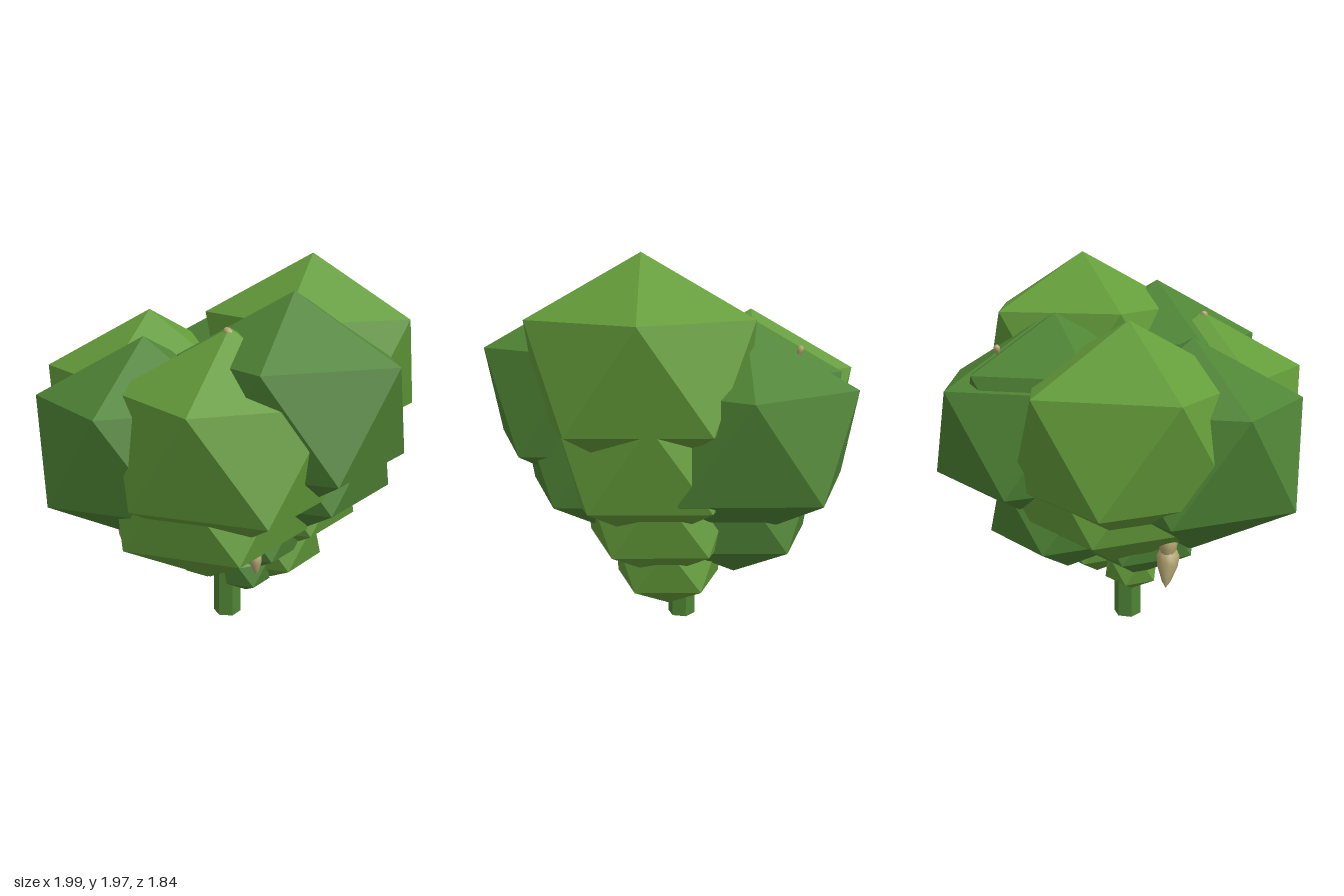
import * as THREE from 'three';

const paint = (name, color, extra = {}) => {
  const m = new THREE.MeshStandardMaterial({ color, ...extra });
  m.name = name;
  return m;
};

export function createModel() {
  const group = new THREE.Group();
  const light = paint('light leaf green', 0x649c3a, { flatShading: true });
  const dark = paint('dark leaf green', 0x4f8435, { flatShading: true });
  const tan = paint('tan fruit', 0xb5a772);

  // slightly squashed icosahedron, standing on a corner, ring corner towards +x
  const unit = new THREE.IcosahedronGeometry(1 / 0.8944, 0);
  unit.rotateZ(-Math.atan(2 / (1 + Math.sqrt(5))));
  unit.scale(1, 0.876, 1);

  const add = (name, geo, mat, x, y, z) => {
    const mesh = new THREE.Mesh(geo, mat);
    mesh.name = name;
    mesh.position.set(x, y, z);
    group.add(mesh);
    return mesh;
  };
  const clump = (name, mat, x, y, z, r) => add(name, unit, mat, x, y, z).scale.setScalar(r);

  // trunk
  add('trunk', new THREE.CylinderGeometry(0.075, 0.075, 0.4, 6), dark, -0.005, 0.2, 0.015);

  // crown: the large outer clumps
  [
    [light, 0.30, 1.43, -0.31, 0.55],
    [dark, 0.44, 1.27, 0.08, 0.555],
    [dark, -0.21, 1.20, -0.31, 0.49],
    [light, 0.27, 1.12, 0.36, 0.55],
    [light, -0.44, 1.13, 0.12, 0.555],
    [dark, -0.19, 1.10, -0.40, 0.55],
    [dark, -0.24, 1.04, 0.39, 0.55],
  ].forEach((c, i) => clump(`crownClump${i + 1}`, ...c));

  // middle and lower clumps, shrinking towards the trunk
  [
    [light, 0.25, 1.03, -0.30, 0.48],
    [dark, 0.35, 1.02, -0.08, 0.50],
    [light, -0.36, 0.92, 0.05, 0.49],
    [light, 0.13, 0.85, 0.34, 0.49],
    [light, 0.19, 0.73, -0.25, 0.39],
    [dark, -0.20, 0.72, -0.27, 0.40],
    [dark, -0.17, 0.62, 0.10, 0.32],
    [light, 0.14, 0.44, -0.20, 0.28],
    [dark, 0.19, 0.53, 0.00, 0.22],
    [light, -0.11, 0.33, 0.06, 0.14],
    [dark, 0.12, 0.29, 0.01, 0.13],
  ].forEach((c, i) => clump(`lowerClump${i + 1}`, ...c));

  // tapered fruits, tip down
  const pod = new THREE.LatheGeometry(
    [[0, -0.5], [0.1, -0.35], [0.24, 0], [0.27, 0.25], [0.16, 0.45], [0, 0.5]]
      .map(([x, y]) => new THREE.Vector2(x, y)), 10);
  [
    [-0.47, 0.59, 0.32, 0.18, -0.15],
    [-0.475, 0.50, 0.32, 0.21, -0.4],
    [0.42, 0.53, 0.35, 0.12, 0.1],
    [0.28, 1.63, 0.37, 0.08, 0.9],
    [-0.41, 1.51, -0.54, 0.06, 0.3],
  ].forEach(([x, y, z, s, tilt], i) => {
    const fruit = add(`fruit${i + 1}`, pod, tan, x, y, z);
    fruit.scale.setScalar(s);
    fruit.rotation.z = tilt;
  });

  return group;
}
